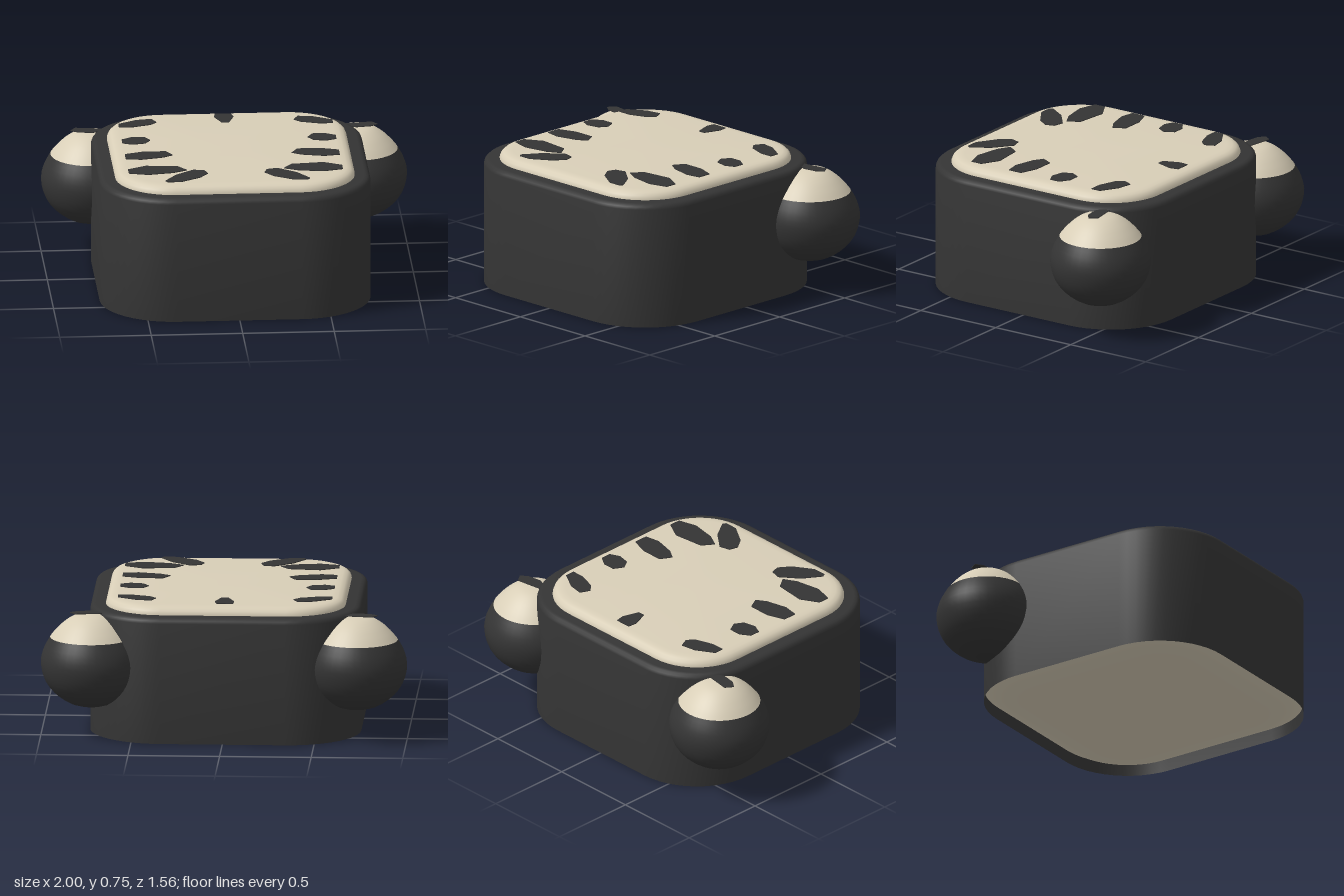
import * as THREE from 'three';
import { toCreasedNormals } from 'three/addons/utils/BufferGeometryUtils.js';

const HALF = 0.74, CORNER = 0.4, CENTRE_Z = 0.037;

// Rounded-square loops stacked along a profile of [inset, y]
function loft(profile) {
  const steps = 12, pos = [], index = [], n = 4 * (steps + 1);
  for (const [inset, y] of profile) {
    const half = HALF - inset, r = Math.min(half, Math.max(CORNER - inset, 0.05));
    for (let q = 0; q < 4; q++) {
      const sx = q === 0 || q === 3 ? 1 : -1, sz = q < 2 ? 1 : -1;
      for (let i = 0; i <= steps; i++) {
        const a = (q + i / steps) * Math.PI / 2;
        pos.push(sx * (half - r) + r * Math.cos(a), y, sz * (half - r) + r * Math.sin(a));
      }
    }
  }
  for (let j = 0; j < profile.length - 1; j++) {
    for (let i = 0; i < n; i++) {
      const a = j * n + i, b = j * n + (i + 1) % n;
      index.push(a, a + n, b, b, a + n, b + n);
    }
  }
  const g = new THREE.BufferGeometry();
  g.setAttribute('position', new THREE.Float32BufferAttribute(pos, 3));
  g.setIndex(index);
  return toCreasedNormals(g, 0.6).translate(0, 0, CENTRE_Z);
}

// Flat plate from an outline of [x, z] points
function plate(points, y, mirror) {
  const shape = new THREE.Shape(points.map(([x, z]) => new THREE.Vector2(x * mirror, -z)));
  const g = new THREE.ExtrudeGeometry(shape, { depth: 0.004, bevelEnabled: false });
  return g.rotateX(-Math.PI / 2).translate(0, y, 0);
}

// Round profile smoothed through a few points
function turned(points) {
  const curve = new THREE.SplineCurve(points.map(([r, y]) => new THREE.Vector2(r, y)));
  const pts = curve.getPoints(16);
  pts.forEach(p => { p.x = Math.max(p.x, 0); });
  return new THREE.LatheGeometry(pts, 40);
}

export function createModel() {
  const group = new THREE.Group();
  const dark = new THREE.MeshStandardMaterial({ color: 0x343434 });
  dark.name = 'charcoal';
  dark.side = THREE.DoubleSide;
  const cream = new THREE.MeshStandardMaterial({ color: 0xd8ceb7 });
  cream.name = 'cream';
  const add = (name, geometry, material) => {
    const mesh = new THREE.Mesh(geometry, material);
    mesh.name = name;
    group.add(mesh);
    return mesh;
  };

  // Dark outer shell, open below
  add('bodyShell', loft([[0, 0], [0, 0.67], [0.005, 0.685], [0.016, 0.696], [0.032, 0.7], [0.14, 0.7]]), dark);

  // Cream cushion on top and soft underside
  add('topCushion', loft([[0.085, 0.69], [0.086, 0.704], [0.093, 0.722], [0.108, 0.736],
    [0.13, 0.743], [0.16, 0.745], [0.739, 0.747]]), cream);
  add('underside', loft([[0.739, 0.004], [0.2, 0.006], [0.13, 0.016], [0.07, 0.032], [0.02, 0.06], [0.003, 0.07]]), cream);

  // Marks along the cushion, mirrored left and right
  const marks = [
    [[0.375, -0.42], [0.40, -0.475], [0.485, -0.46], [0.585, -0.40], [0.585, -0.345], [0.51, -0.345], [0.41, -0.38]],
    [[0.43, -0.11], [0.46, -0.165], [0.53, -0.165], [0.585, -0.13], [0.585, -0.07], [0.53, -0.045], [0.46, -0.06]],
    [[0.325, 0.155], [0.36, 0.09], [0.485, 0.09], [0.585, 0.125], [0.585, 0.205], [0.50, 0.22], [0.38, 0.19]],
    [[0.265, 0.42], [0.31, 0.355], [0.485, 0.335], [0.585, 0.39], [0.585, 0.455], [0.48, 0.485], [0.34, 0.46]],
    [[0.155, 0.485], [0.17, 0.435], [0.23, 0.42], [0.33, 0.5], [0.395, 0.6], [0.385, 0.62], [0.31, 0.62], [0.2, 0.55]],
  ];
  const toeMark = [[0.84, -0.505], [0.81, -0.548], [0.665, -0.525], [0.66, -0.49], [0.72, -0.462], [0.8, -0.475]];

  // Round side balls with cream caps
  const ball = turned([[0, 0.165], [0.1, 0.18], [0.19, 0.235], [0.25, 0.31], [0.275, 0.405], [0.26, 0.485], [0.224, 0.553]]);
  const cap = turned([[0.224, 0.553], [0.19, 0.594], [0.14, 0.64], [0.08, 0.673], [0, 0.685]]);

  for (const [side, s] of [['left', 1], ['right', -1]]) {
    marks.forEach((m, i) => add(`${side}Mark${i + 1}`, plate(m, 0.75, s), dark));
    add(`${side}Ball`, ball, dark).position.set(s * 0.725, 0, -0.505);
    add(`${side}BallCap`, cap, cream).position.set(s * 0.725, 0, -0.505);
    add(`${side}BallMark`, plate(toeMark, 0.684, s), dark);
  }
  add('backMark', plate([[-0.05, -0.54], [0.04, -0.54], [0.05, -0.49], [0.02, -0.395], [-0.02, -0.395], [-0.055, -0.49]], 0.75, 1), dark);

  return group;
}
